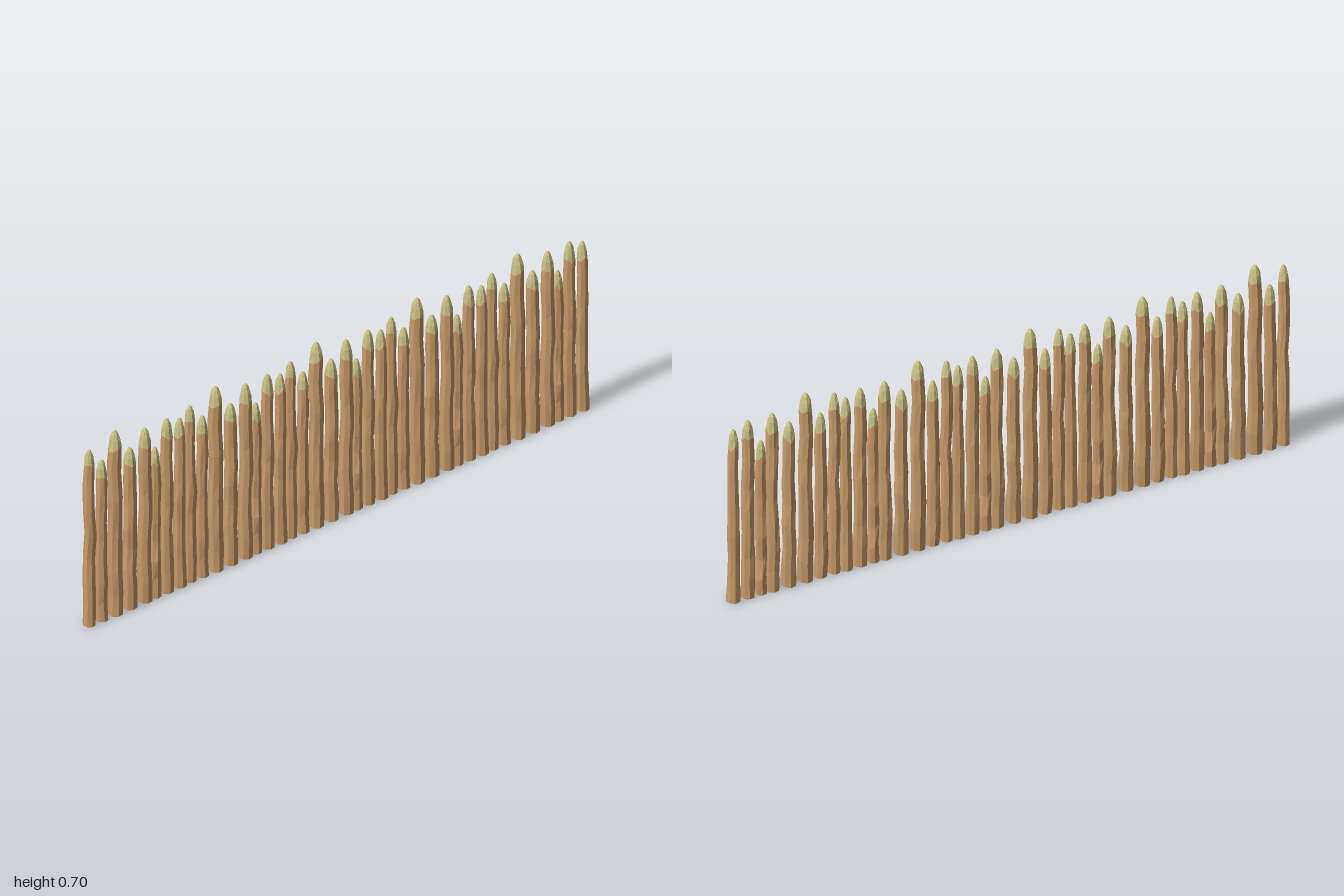
import * as THREE from 'three';

const SIDES = 8;
const bark = new THREE.MeshStandardMaterial({ color: 0xc89b68, flatShading: true });
const cutWood = new THREE.MeshStandardMaterial({ color: 0xc8bf82, flatShading: true });

// One repeating section of the fence: [z, height, radius, base flare]
const SECTION = [
  [0.980, 0.67, 0.021, 0.98],
  [0.931, 0.61, 0.022, 1.0],
  [0.878, 0.70, 0.026, 0.95],
  [0.819, 0.61, 0.024, 1.0],
  [0.759, 0.66, 0.024, 1.0],
  [0.719, 0.57, 0.020, 1.05],
  [0.672, 0.66, 0.023, 1.0],
  [0.621, 0.64, 0.021, 1.15],
];
const REPEATS = 5, PERIOD = 0.4;

function seeded(seed) {
  let s = seed * 7919 + 17;
  return () => ((s = (s * 16807) % 2147483647) / 2147483647) * 2 - 1;
}

// Skin a stack of rings, closing the bottom and/or top with a fan
function loft(rings, capBottom, capTop) {
  const pos = rings.flat(2), index = [];
  for (let r = 0; r < rings.length - 1; r++)
    for (let i = 0; i < SIDES; i++) {
      const j = (i + 1) % SIDES, a = r * SIDES + i, b = r * SIDES + j;
      index.push(a, a + SIDES, b, b, a + SIDES, b + SIDES);
    }
  const last = (rings.length - 1) * SIDES;
  for (let i = 1; i < SIDES - 1; i++) {
    if (capBottom) index.push(0, i, i + 1);
    if (capTop) index.push(last, last + i + 1, last + i);
  }
  const g = new THREE.BufferGeometry();
  g.setAttribute('position', new THREE.Float32BufferAttribute(pos, 3));
  g.setIndex(index);
  g.computeVertexNormals();
  return g;
}

// Crooked trunk and hewn point for one stake
function stakeGeometries([, height, radius, flare], seed) {
  const rnd = seeded(seed + 1);
  const ring = (cx, cz, y, r, rough, jag) => Array.from({ length: SIDES }, (_, i) => {
    const a = (i / SIDES) * Math.PI * 2 + 0.2;
    const k = r * (1 + rnd() * rough);
    return [cx + Math.cos(a) * k * 1.08, y + rnd() * jag, cz + Math.sin(a) * k];
  });

  const shoulder = height - 0.062;
  const levels = [0, 0.13, 0.27, 0.42, 0.56, 0.7, 0.86];
  const trunk = levels.map((t, n) => {
    const bend = n === 0 ? 0 : 1;
    const r = radius * (n === 0 ? flare : 1.0 - 0.15 * t);
    return ring(rnd() * 0.004 * bend, rnd() * 0.003 * bend, t * shoulder, r,
      n === 0 ? 0.02 : 0.08, 0.012 * bend);
  });
  const edge = ring(0, 0, shoulder, radius * 0.84, 0.05, 0.012);
  trunk.push(edge);

  const tip = [
    edge,
    ring(0, 0, height - 0.030, radius * 0.66, 0.05, 0.004),
    ring(0, 0, height - 0.010, radius * 0.40, 0.05, 0.001),
    ring(0, 0, height, radius * 0.17, 0, 0),
  ];
  return [loft(trunk, true, false), loft(tip, false, true)];
}

export function createModel() {
  const fence = new THREE.Group();
  fence.name = 'palisadeFence';
  const shapes = SECTION.map(stakeGeometries);

  for (let s = 0; s < REPEATS; s++) {
    const section = new THREE.Group();
    section.name = `fenceSection${s + 1}`;
    section.position.z = -s * PERIOD;
    SECTION.forEach(([z], i) => {
      const stake = new THREE.Group();
      stake.name = `stake${i + 1}`;
      stake.position.z = z;
      const trunk = new THREE.Mesh(shapes[i][0], bark);
      trunk.name = 'trunk';
      const tip = new THREE.Mesh(shapes[i][1], cutWood);
      tip.name = 'sharpenedTip';
      stake.add(trunk, tip);
      section.add(stake);
    });
    fence.add(section);
  }
  return fence;
}
